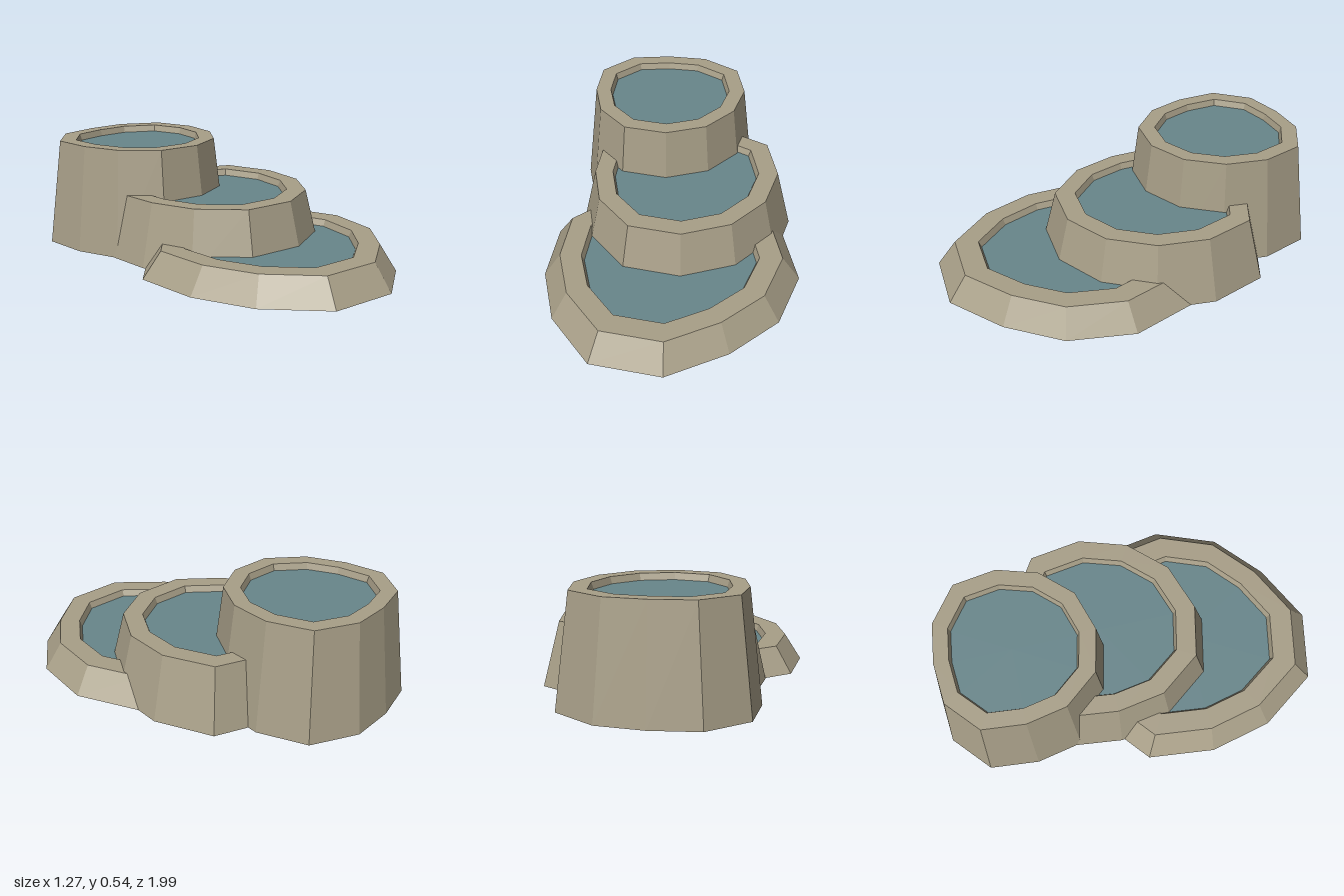
import * as THREE from 'three';

const stone = new THREE.MeshStandardMaterial({ color: 0xa89f88, flatShading: true });
stone.name = 'stone';
const water = new THREE.MeshStandardMaterial({ color: 0x68868b, flatShading: true });
water.name = 'water';

const TOP = 0.863;           // rim size relative to the foot
const INNER = TOP * 0.8;     // inner lip of the rim
const FLOOR = TOP * 0.775;   // waterline
const DEPTH = 0.033;         // water lies this far below the rim

// Joins scaled copies of one irregular outline: profile is a list of [scale, y]
function ringGeometry(radii, profile) {
  const n = radii.length;
  const point = (i, [scale, y]) => {
    const a = (i / n) * Math.PI * 2;
    const r = radii[i % n] * scale;
    return [Math.cos(a) * r, y, Math.sin(a) * r];
  };
  const pos = [];
  for (let k = 0; k < profile.length - 1; k++) {
    const p = profile[k], q = profile[k + 1];
    for (let i = 0; i < n; i++) {
      const a = point(i, p), b = point(i + 1, p);
      const c = point(i, q), d = point(i + 1, q);
      if (p[0] > 0) pos.push(...a, ...c, ...b);
      if (q[0] > 0) pos.push(...c, ...d, ...b);
    }
  }
  const g = new THREE.BufferGeometry();
  g.setAttribute('position', new THREE.Float32BufferAttribute(pos, 3));
  g.computeVertexNormals();
  return g;
}

// One terrace: sloped stone basin with a raised rim, and its water
function terrace(name, x, z, height, radii) {
  const group = new THREE.Group();
  group.name = name;
  const basin = new THREE.Mesh(ringGeometry(radii, [
    [0, 0], [1, 0], [TOP, height], [INNER, height], [FLOOR, height - DEPTH],
  ]), stone);
  basin.name = name + 'Basin';
  const pool = new THREE.Mesh(ringGeometry(radii, [
    [FLOOR, height - DEPTH], [0, height - DEPTH],
  ]), water);
  pool.name = name + 'Water';
  group.add(basin, pool);
  group.position.set(x, 0, z);
  return group;
}

export function createModel() {
  const model = new THREE.Group();
  model.name = 'terracedPools';
  // Radii every 30 degrees, from +x round towards +z
  model.add(
    terrace('lowerTerrace', -0.024, 0.328, 0.13,
      [0.656, 0.619, 0.597, 0.664, 0.685, 0.624, 0.614, 0.667, 0.635, 0.63, 0.635, 0.688]),
    terrace('middleTerrace', 0.042, -0.122, 0.315,
      [0.571, 0.556, 0.563, 0.58, 0.593, 0.55, 0.523, 0.566, 0.54, 0.53, 0.534, 0.605]),
    terrace('upperTerrace', -0.045, -0.566, 0.54,
      [0.478, 0.468, 0.474, 0.482, 0.492, 0.466, 0.45, 0.492, 0.477, 0.434, 0.467, 0.508]),
  );
  return model;
}
